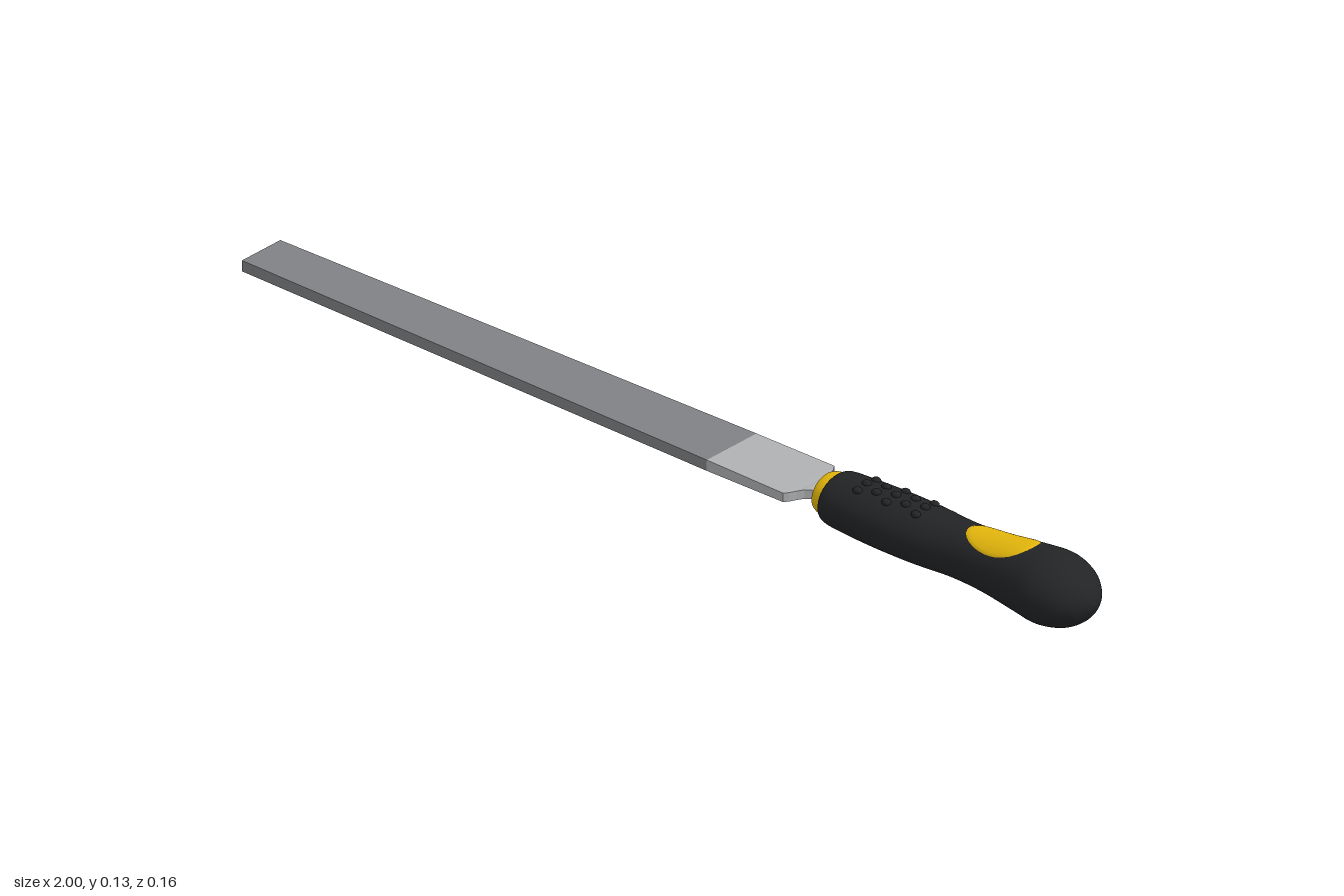
import * as THREE from 'three';

const BLACK = 0x222426, YELLOW = 0xe6b80c, STEEL = 0x808285, LIGHT = 0xb0b2b4;

// Skin a list of closed rings (each an array of Vector3), optionally capped at both ends
function loft(rings, caps = true) {
  const n = rings[0].length, pos = [], idx = [];
  rings.forEach(r => r.forEach(p => pos.push(p.x, p.y, p.z)));
  for (let i = 0; i < rings.length - 1; i++)
    for (let j = 0; j < n; j++) {
      const a = i * n + j, c = i * n + (j + 1) % n, b = a + n, d = c + n;
      idx.push(a, c, b, b, c, d);
    }
  if (caps) {
    const e = (rings.length - 1) * n;
    for (let j = 1; j < n - 1; j++) idx.push(0, j + 1, j, e, e + j, e + j + 1);
  }
  const g = new THREE.BufferGeometry();
  g.setAttribute('position', new THREE.Float32BufferAttribute(pos, 3));
  g.setIndex(idx);
  g.computeVertexNormals();
  return g;
}

// Handle stations: x, top, bottom, half width
const stations = [
  [0.383, 0.098, 0.014, 0.048], [0.392, 0.105, 0.007, 0.057], [0.44, 0.108, 0.005, 0.062],
  [0.52, 0.112, 0.005, 0.065], [0.60, 0.114, 0.007, 0.063], [0.69, 0.115, 0.012, 0.056],
  [0.77, 0.122, 0.011, 0.060], [0.85, 0.133, 0.005, 0.071], [0.905, 0.136, 0.002, 0.078],
  [0.95, 0.125, 0.011, 0.066], [0.98, 0.105, 0.030, 0.043], [0.995, 0.085, 0.052, 0.019],
  [1.0, 0.070, 0.066, 0.002]
];
const topCurve = new THREE.CatmullRomCurve3(stations.map(s => new THREE.Vector3(s[0], s[1], s[3])), false, 'catmullrom');
const bottomCurve = new THREE.CatmullRomCurve3(stations.map(s => new THREE.Vector3(s[0], s[2], 0)), false, 'catmullrom');

// Point on the handle at curve parameter u and angle t from the top towards +z
function handlePoint(u, t, lift = 0) {
  const a = topCurve.getPoint(u), b = bottomCurve.getPoint(u);
  return new THREE.Vector3(a.x,
    (a.y + b.y) / 2 + ((a.y - b.y) / 2 + lift) * Math.cos(t),
    (a.z + lift) * Math.sin(t));
}

function parameterAt(x) {
  let lo = 0, hi = 1;
  for (let i = 0; i < 24; i++) {
    const mid = (lo + hi) / 2;
    if (topCurve.getPoint(mid).x < x) lo = mid; else hi = mid;
  }
  return lo;
}

// Rectangular bar through stations: x, centre y, half thickness, half width
const bar = list => loft(list.map(([x, y, h, w]) =>
  [[h, w], [-h, w], [-h, -w], [h, -w]].map(([dy, dz]) => new THREE.Vector3(x, y + dy, dz))));

export function createModel() {
  const group = new THREE.Group();
  const add = (name, geometry, color, flatShading = false) => {
    const mesh = new THREE.Mesh(geometry, new THREE.MeshStandardMaterial({ color, flatShading }));
    mesh.name = name;
    group.add(mesh);
    return mesh;
  };

  // Tapered cutting blade
  add('blade', bar([[-1, 0.017, 0.011, 0.050], [0.13, 0.049, 0.011, 0.065]]), STEEL, true);

  // Smooth shoulder, curving in to the tang
  add('shoulder', bar([
    [0.13, 0.049, 0.011, 0.065], [0.315, 0.055, 0.009, 0.067], [0.322, 0.055, 0.009, 0.058],
    [0.328, 0.055, 0.009, 0.045], [0.336, 0.056, 0.009, 0.034], [0.346, 0.056, 0.009, 0.026],
    [0.358, 0.056, 0.009, 0.021], [0.39, 0.057, 0.009, 0.020]
  ]), LIGHT, true);

  // Collar at the mouth of the handle
  const collar = new THREE.LatheGeometry([
    [0, 0.357], [0.033, 0.357], [0.037, 0.360], [0.040, 0.368], [0.041, 0.380], [0.041, 0.392]
  ].map(([r, x]) => new THREE.Vector2(r, x)), 40);
  collar.rotateZ(-Math.PI / 2).scale(1, 1, 1.12).translate(0, 0.057, 0);
  add('collar', collar, YELLOW);

  // Contoured grip
  const rings = [];
  for (let i = 0; i <= 96; i++)
    rings.push(Array.from({ length: 48 }, (_, j) => handlePoint(i / 96, j / 48 * Math.PI * 2)));
  add('handle', loft(rings), BLACK);

  // Oval thumb inlay following the grip surface
  const oval = [];
  for (let i = 0; i <= 12; i++)
    oval.push(Array.from({ length: 48 }, (_, j) => {
      const r = Math.max(i / 12, 0.001), p = j / 48 * Math.PI * 2;
      const lift = i === 12 ? -0.001 : 0.0012;
      return handlePoint(parameterAt(0.78 + 0.08 * r * Math.cos(p)), 0.83 * r * Math.sin(p), lift);
    }));
  add('thumbInlay', loft(oval, false), YELLOW);

  // Staggered grip nubs
  const nubs = new THREE.Group();
  nubs.name = 'gripNubs';
  const nubGeometry = new THREE.SphereGeometry(0.009, 14, 10);
  const nubMaterial = new THREE.MeshStandardMaterial({ color: BLACK });
  for (let row = 0; row < 5; row++) {
    const angles = row % 2 ? [-0.2, 0.2] : [-0.4, 0, 0.4];
    for (const t of angles) {
      const nub = new THREE.Mesh(nubGeometry, nubMaterial);
      nub.name = 'nub';
      nub.position.copy(handlePoint(parameterAt(0.455 + row * 0.035), t));
      nub.scale.set(1.1, 0.8, 0.9);
      nubs.add(nub);
    }
  }
  group.add(nubs);
  return group;
}
